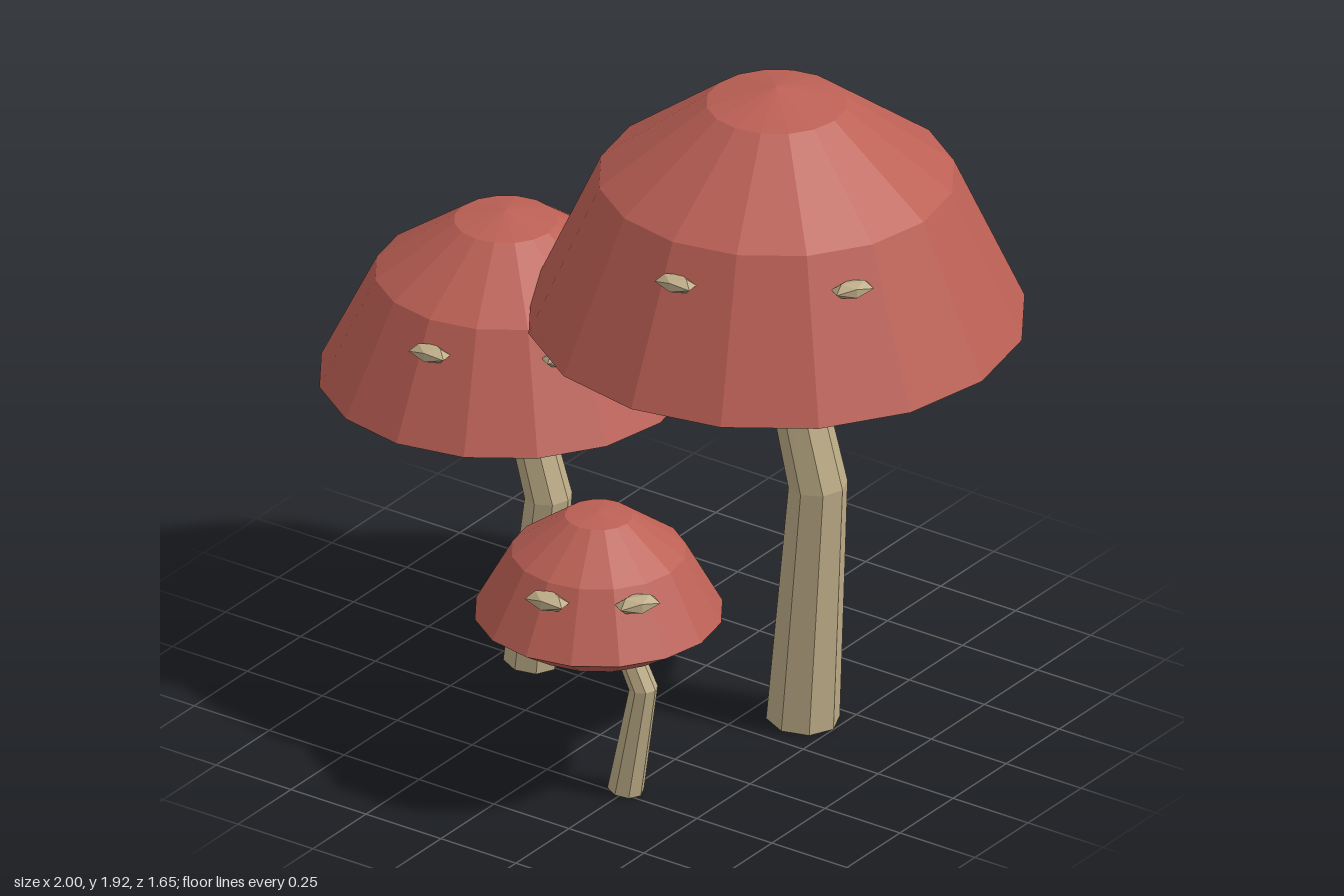
import * as THREE from 'three';

const capRed = new THREE.MeshStandardMaterial({ name: 'cap red', color: 0xbc6055, flatShading: true });
const stemTan = new THREE.MeshStandardMaterial({ name: 'stem tan', color: 0xbdac87, flatShading: true });

// Each cap profile runs from the underside, round the rim, to the crown: [radius, height].
// Each stem has three stations: [x, y, radius].
const mushrooms = [
  {
    name: 'largeMushroom', x: 0.312, z: -0.14,
    cap: [[0, 1.19], [0.22, 1.19], [0.46, 1.15], [0.685, 1.22], [0.49, 1.65], [0.193, 1.872], [0, 1.92]],
    disc: [0.22, 1.187],
    stem: [[0.4, 0.01, 0.102], [0.45, 0.74, 0.082], [0.312, 1.27, 0.07]],
    spots: { radius: 0.537, y: 1.555, size: 0.06 },
  },
  {
    name: 'mediumMushroom', x: -0.485, z: 0.01,
    cap: [[0, 0.855], [0.124, 0.855], [0.335, 0.79], [0.515, 0.865], [0.36, 1.18], [0.142, 1.335], [0, 1.365]],
    disc: [0.124, 0.852],
    stem: [[-0.4, 0.01, 0.078], [-0.343, 0.53, 0.066], [-0.46, 0.92, 0.055]],
    spots: { radius: 0.405, y: 1.105, size: 0.06 },
  },
  {
    name: 'smallMushroom', x: 0.158, z: 0.48,
    cap: [[0, 0.54], [0.09, 0.54], [0.225, 0.455], [0.342, 0.53], [0.24, 0.715], [0.093, 0.822], [0, 0.835]],
    disc: [0.09, 0.537],
    stem: [[0.248, 0.01, 0.051], [0.307, 0.335, 0.04], [0.19, 0.57, 0.034]],
    spots: { radius: 0.275, y: 0.68, size: 0.064 },
  },
];

function addMesh(group, name, geometry, material) {
  const mesh = new THREE.Mesh(geometry, material);
  mesh.name = name;
  group.add(mesh);
  return mesh;
}

// Eight-sided cylinder with its three rings moved onto a bent path
function bentStem(stations) {
  const geometry = new THREE.CylinderGeometry(1, 1, 2, 8, 2);
  const points = stations.map(([x, y]) => new THREE.Vector2(x, y));
  const pos = geometry.attributes.position;
  for (let i = 0; i < pos.count; i++) {
    const row = Math.round(pos.getY(i)) + 1;
    const along = points[Math.min(row + 1, 2)].clone().sub(points[Math.max(row - 1, 0)]).normalize();
    const r = stations[row][2];
    const side = pos.getX(i) * r;
    pos.setXYZ(i, points[row].x + along.y * side, points[row].y - along.x * side, pos.getZ(i) * r);
  }
  geometry.computeVertexNormals();
  return geometry;
}

function createMushroom({ name, x, z, cap, disc, stem, spots }) {
  const group = new THREE.Group();
  group.name = name;

  const profile = cap.map(([r, y]) => new THREE.Vector2(r, y));
  addMesh(group, 'cap', new THREE.LatheGeometry(profile, 16), capRed).position.set(x, 0, z);

  // Pale disc under the cap, around the stem
  const collar = addMesh(group, 'undersideDisc', new THREE.CircleGeometry(disc[0], 16), stemTan);
  collar.rotation.x = Math.PI / 2;
  collar.position.set(x, disc[1], z);

  addMesh(group, 'stem', bentStem(stem), stemTan).position.z = z;

  // Flattened lumps on the cap, turned to face outward
  [4.5, 58].forEach((degrees, i) => {
    const a = THREE.MathUtils.degToRad(degrees);
    const lump = addMesh(group, 'capSpot' + (i + 1), new THREE.IcosahedronGeometry(1, 0), stemTan);
    lump.scale.set(spots.size * 1.08, spots.size * 0.42, spots.size * 0.6);
    lump.rotation.y = a;
    lump.position.set(x + Math.sin(a) * spots.radius, spots.y, z + Math.cos(a) * spots.radius);
  });
  return group;
}

export function createModel() {
  const model = new THREE.Group();
  model.name = 'mushroomCluster';
  mushrooms.forEach((m) => model.add(createMushroom(m)));
  return model;
}
